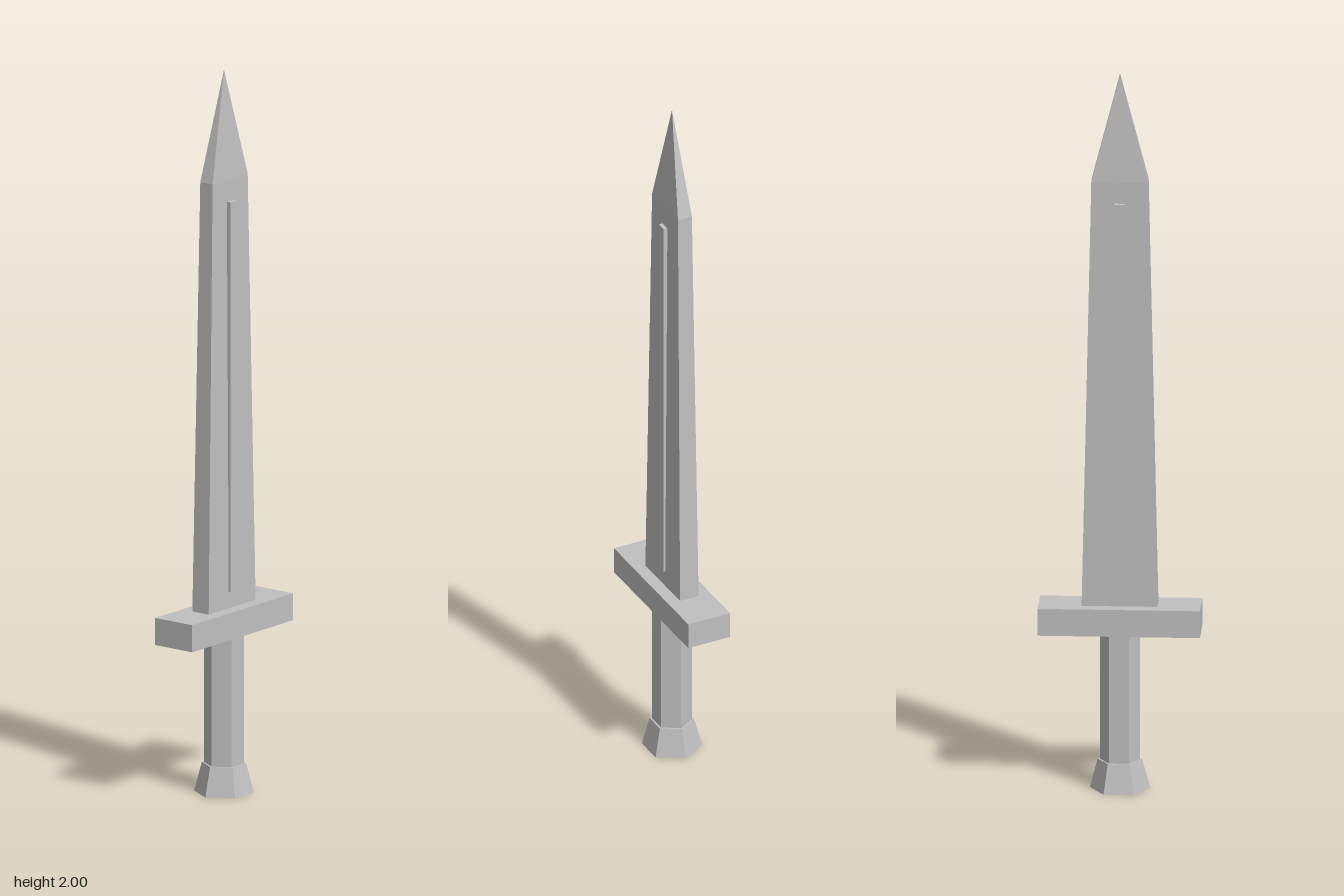
import * as THREE from 'three';

export function createModel() {
  const model = new THREE.Group();
  const steel = new THREE.MeshStandardMaterial({ color: 0xc0c0c0 });
  steel.name = 'grey steel';
  steel.flatShading = true;

  const add = (name, geometry, y) => {
    const mesh = new THREE.Mesh(geometry, steel);
    mesh.name = name;
    mesh.position.y = y;
    model.add(mesh);
    return mesh;
  };

  // Six-sided prism with corners on the x axis, standing on y = 0
  const hexPrism = (topRadius, bottomRadius, height) =>
    new THREE.CylinderGeometry(topRadius, bottomRadius, height, 6, 1)
      .rotateY(Math.PI / 6)
      .translate(0, height / 2, 0);

  // Handle and flared pommel
  add('pommel', hexPrism(0.06, 0.081, 0.08), 0);
  add('grip', hexPrism(0.054, 0.054, 0.37), 0.075);

  // Crossguard
  add('crossguard', new THREE.BoxGeometry(0.436, 0.075, 0.126), 0.4775);

  // Blade: a box that narrows towards the top
  const bladeBase = 0.5, bladeTop = 1.7;
  const blade = new THREE.BoxGeometry(2, bladeTop - bladeBase, 2);
  const p = blade.attributes.position;
  for (let i = 0; i < p.count; i++) {
    const upper = p.getY(i) > 0;
    p.setX(i, p.getX(i) * (upper ? 0.076 : 0.102));
    p.setZ(i, p.getZ(i) * (upper ? 0.021 : 0.028));
  }
  blade.computeVertexNormals();
  add('blade', blade, (bladeBase + bladeTop) / 2);

  // Pyramid point, matching the top of the blade
  const point = new THREE.ConeGeometry(Math.SQRT2, 0.3, 4, 1, true)
    .rotateY(Math.PI / 4)
    .scale(0.076, 1, 0.021);
  add('bladePoint', point, bladeTop + 0.15);

  // Raised ribs along both faces
  for (const side of [1, -1]) {
    const rib = add(side > 0 ? 'frontRib' : 'backRib', new THREE.BoxGeometry(0.029, 1.08, 0.018), 1.1);
    rib.position.z = side * 0.024;
  }

  return model;
}
